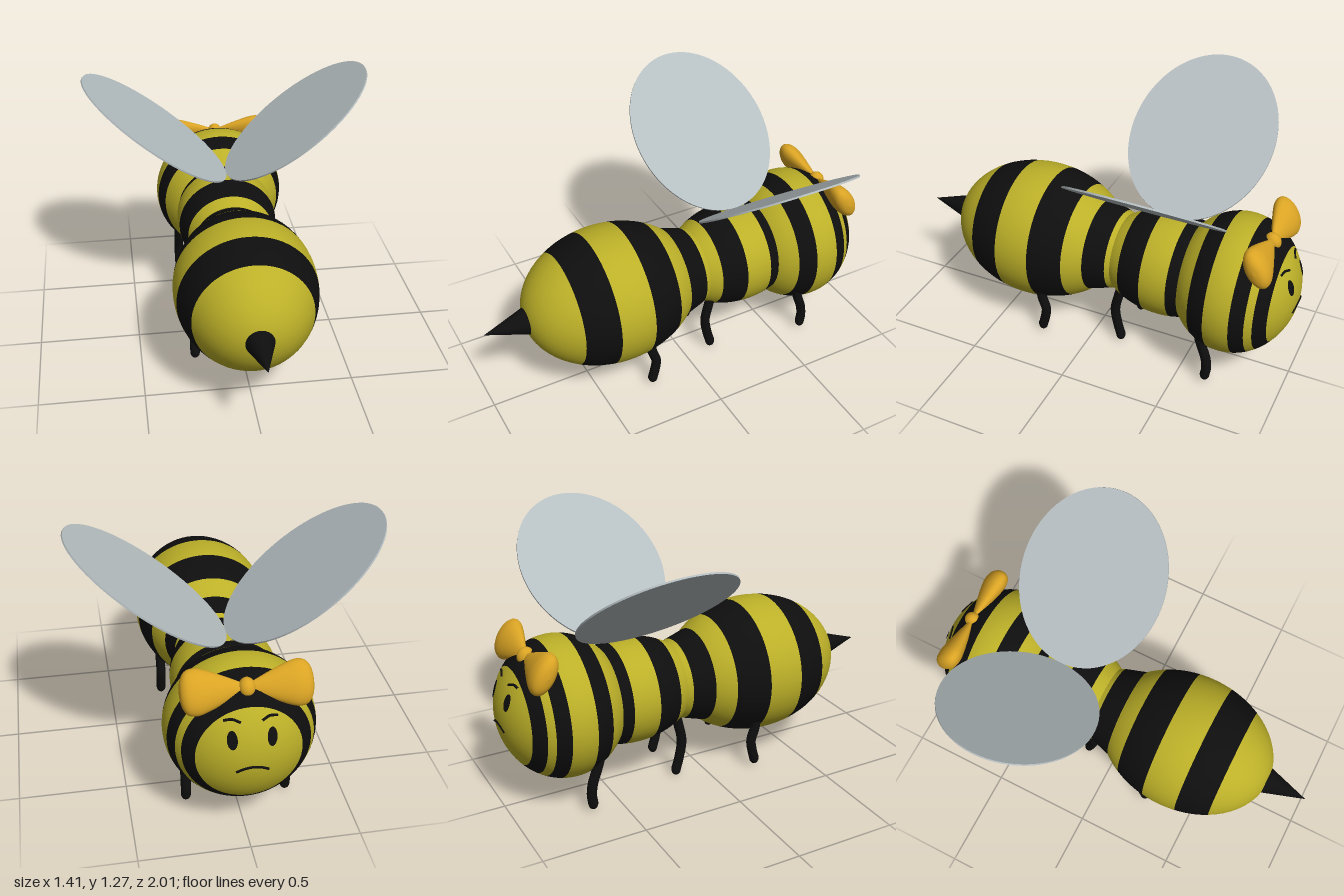
import * as THREE from 'three';

const mat = (name, color) => {
  const m = new THREE.MeshStandardMaterial({ color });
  m.name = name;
  return m;
};

export function createModel() {
  const yellow = mat('honey yellow', 0xbcb028);
  const black = mat('black', 0x0e0e0e);
  const wingGrey = mat('wing grey', 0xb4bdc0);
  const gold = mat('bow gold', 0xdaa424);

  const root = new THREE.Group();
  root.name = 'bee';
  const add = (parent, name, geo, material) => {
    const m = new THREE.Mesh(geo, material);
    m.name = name;
    parent.add(m);
    return m;
  };
  const group = (name) => {
    const g = new THREE.Group();
    g.name = name;
    root.add(g);
    return g;
  };
  const CY = 0.467; // height of the body axis

  // Striped body part: an ellipsoid cut at the given z values, colours alternating
  function stripedBody(name, zc, r, rz, cuts, firstIsBlack) {
    const g = group(name);
    g.position.set(0, CY, zc);
    for (let i = 0; i < cuts.length - 1; i++) {
      const a0 = Math.asin(THREE.MathUtils.clamp((cuts[i] - zc) / rz, -1, 1));
      const a1 = Math.asin(THREE.MathUtils.clamp((cuts[i + 1] - zc) / rz, -1, 1));
      const pts = [];
      for (let k = 0; k <= 10; k++) {
        const a = a0 + (a1 - a0) * k / 10;
        pts.push(new THREE.Vector2(Math.max(0, r * Math.cos(a)), rz * Math.sin(a)));
      }
      const isBlack = (i % 2 === 0) === firstIsBlack;
      add(g, isBlack ? 'blackStripe' : 'yellowStripe',
        new THREE.LatheGeometry(pts, 64).rotateX(Math.PI / 2), isBlack ? black : yellow);
    }
  }
  const HEAD = { z: -0.695, r: 0.342, rz: 0.305 };
  stripedBody('head', HEAD.z, HEAD.r, HEAD.rz,
    [-1, -0.918, -0.865, -0.832, -0.767, -0.645, -0.558, -0.39], false);
  stripedBody('thorax', -0.35, 0.257, 0.357, [-0.707, -0.425, -0.29, -0.166, 0.007], true);
  stripedBody('abdomen', 0.35, 0.342, 0.45, [-0.1, 0.02, 0.107, 0.268, 0.445, 0.605, 0.8], true);

  // Waist between thorax and abdomen
  const waist = group('waist');
  const ring = (name, z0, r0, z1, r1, m) => {
    const geo = new THREE.CylinderGeometry(r1, r0, z1 - z0, 64).rotateX(Math.PI / 2);
    add(waist, name, geo, m).position.set(0, CY, (z0 + z1) / 2);
  };
  ring('waistBlack', -0.086, 0.2, 0.02, 0.232, black);
  ring('waistYellow', -0.115, 0.188, -0.086, 0.2, yellow);

  // Stinger
  add(root, 'stinger', new THREE.ConeGeometry(0.07, 0.22, 32).rotateX(Math.PI / 2), black)
    .position.set(0, CY, 0.89);

  // Legs: bent tubes with rounded feet, as [x, then (y, z) points from hip to foot]
  const legs = [
    ['rearLeg', 0.235, [[0.28, 0.25], [0.22, 0.243], [0.15, 0.222], [0.09, 0.23], [0.045, 0.242]]],
    ['middleLeg', 0.13, [[0.34, -0.15], [0.28, -0.135], [0.19, -0.118], [0.1, -0.132], [0.035, -0.15]]],
    ['frontLeg', 0.235, [[0.28, -0.6], [0.22, -0.618], [0.15, -0.642], [0.09, -0.65], [0.045, -0.645]]],
  ];
  for (const [name, x, path] of legs) {
    for (const s of [1, -1]) {
      const leg = group(name);
      const pts = path.map(([y, z]) => new THREE.Vector3(s * x, y, z));
      add(leg, 'limb', new THREE.TubeGeometry(new THREE.CatmullRomCurve3(pts), 24, 0.024, 16), black);
      const foot = add(leg, 'foot', new THREE.SphereGeometry(0.024, 16, 12), black);
      foot.position.copy(pts[pts.length - 1]);
      foot.scale.y = 1.3;
    }
  }

  // Wings: thin tilted oval discs
  for (const s of [1, -1]) {
    const wing = add(root, s > 0 ? 'leftWing' : 'rightWing',
      new THREE.CylinderGeometry(1, 1, 0.008, 72), wingGrey);
    wing.scale.set(0.443, 1, 0.36);
    wing.position.set(s * 0.353, 1.002, -0.325 - 0.03);
    wing.rotation.z = s * 0.655;
  }

  // Bow: two flared lobes and a knot
  const bow = group('bow');
  bow.position.set(0, 0.752, -0.847);
  bow.rotation.x = 0.52;
  const lobe = new THREE.SplineCurve([
    [0.016, 0], [0.032, 0.035], [0.062, 0.1], [0.092, 0.175], [0.1, 0.215],
    [0.09, 0.25], [0.055, 0.272], [0, 0.28],
  ].map(([r, t]) => new THREE.Vector2(r, t))).getPoints(36);
  lobe.forEach((p) => { p.x = Math.max(0, p.x); });
  for (const s of [1, -1]) {
    const m = add(bow, 'bowLobe', new THREE.LatheGeometry(lobe, 40).rotateZ(-s * Math.PI / 2), gold);
    m.position.x = s * 0.007;
    m.scale.z = 0.52;
  }
  add(bow, 'bowKnot', new THREE.SphereGeometry(0.038, 24, 16), gold).scale.set(0.95, 1.15, 1);

  // Face, laid on the surface of the head
  const face = group('face');
  const onFace = (x, y, lift) => new THREE.Vector3(x, CY + y,
    HEAD.z - HEAD.rz * Math.sqrt(1 - (x * x + y * y) / HEAD.r ** 2) - lift);
  const line = (name, pts) => add(face, name, new THREE.TubeGeometry(
    new THREE.CatmullRomCurve3(pts.map(([x, y]) => onFace(x, y, 0))), 20, 0.006, 8), black);
  for (const s of [1, -1]) {
    const eye = new THREE.CircleGeometry(1, 32);
    const p = eye.attributes.position;
    for (let i = 0; i < p.count; i++) {
      const v = onFace(s * 0.085 - p.getX(i) * 0.022, 0.115 + p.getY(i) * 0.04, 0.005);
      p.setXYZ(i, v.x, v.y, v.z);
    }
    eye.computeVertexNormals();
    add(face, 'eye', eye, black);
    line('eyebrow', [[s * 0.045, 0.183], [s * 0.08, 0.194], [s * 0.115, 0.188]]);
  }
  line('mouth', [[-0.07, -0.04], [-0.035, -0.022], [0, -0.016], [0.035, -0.022], [0.07, -0.04]]);

  return root;
}
